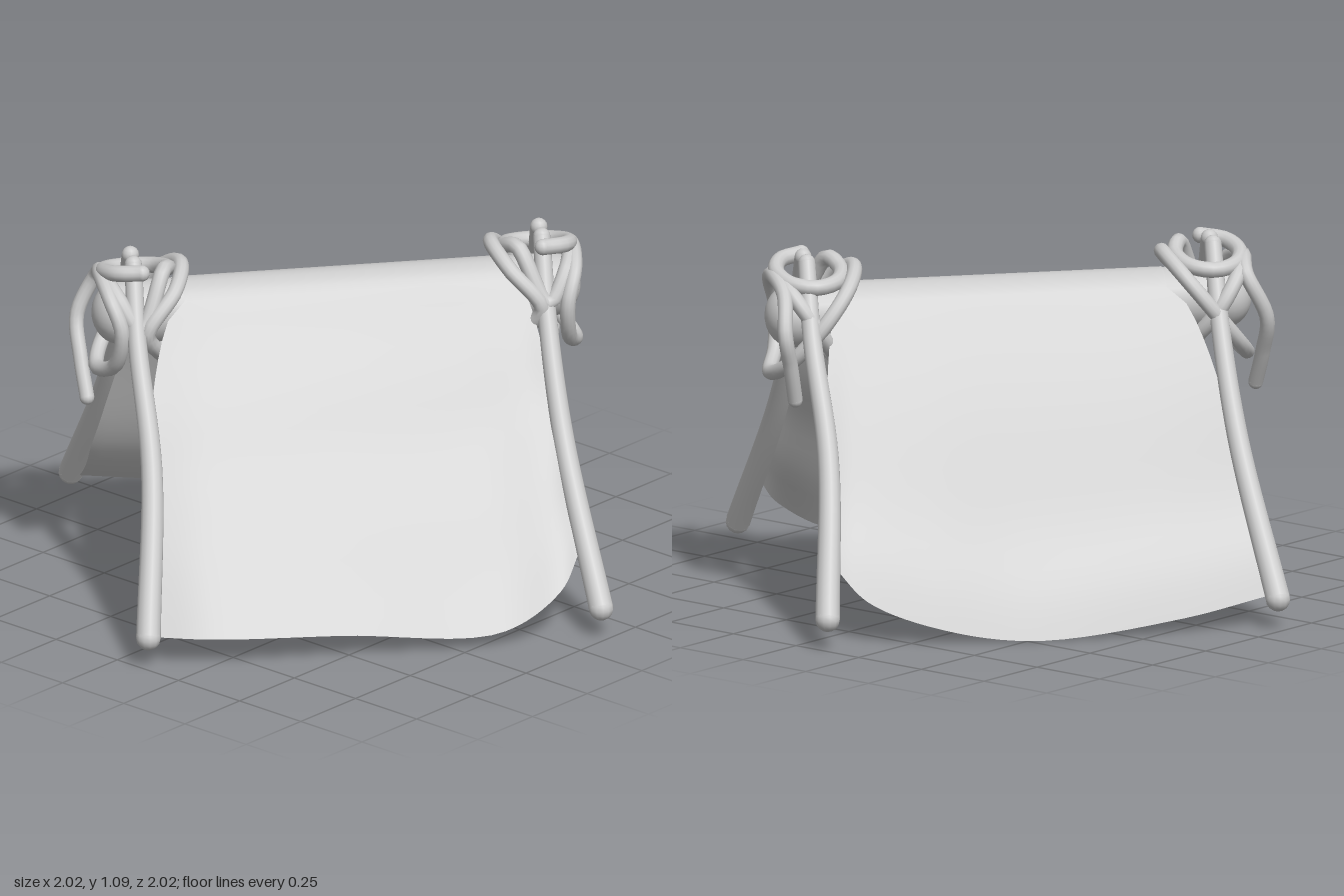
import * as THREE from 'three';

const grey = new THREE.MeshStandardMaterial({ color: 0xcccccc });
const clothGrey = new THREE.MeshStandardMaterial({ color: 0xcccccc, side: THREE.DoubleSide });
const V = (x, y, z) => new THREE.Vector3(x, y, z);

function addMesh(parent, geometry, name, material = grey) {
  const mesh = new THREE.Mesh(geometry, material);
  mesh.name = name;
  parent.add(mesh);
  return mesh;
}

// Round-ended rod along a curve, tapering from r0 to r1
function rod(parent, points, r0, r1, name, segments = 24) {
  const curve = new THREE.CatmullRomCurve3(points);
  const sides = 12;
  const geo = new THREE.TubeGeometry(curve, segments, 1, sides);
  const pos = geo.attributes.position;
  const p = V(0, 0, 0);
  for (let i = 0; i <= segments; i++) {
    const c = curve.getPointAt(i / segments);
    const r = r0 + (r1 - r0) * i / segments;
    for (let j = 0; j <= sides; j++) {
      const k = i * (sides + 1) + j;
      p.fromBufferAttribute(pos, k).sub(c).multiplyScalar(r).add(c);
      pos.setXYZ(k, p.x, p.y, p.z);
    }
  }
  const group = new THREE.Group();
  group.name = name;
  addMesh(group, geo, name + 'Shaft');
  [[points[0], r0], [points[points.length - 1], r1]].forEach(([c, r]) => {
    addMesh(group, new THREE.SphereGeometry(r, 12, 8), name + 'End').position.copy(c);
  });
  parent.add(group);
}

// Rope: a ring round the pole tips, two crossing diagonal turns, a loose tail
function lashing(parent, side, tail) {
  const points = [];
  const perTurn = 8;
  for (let i = 0; i <= perTurn * 3.4; i++) {
    const turn = Math.min(Math.floor(i / perTurn), 3);
    const a = (i / perTurn) * Math.PI * 2;
    const c = Math.cos(a), s = Math.sin(a);
    if (turn === 0) points.push(V(0.11 * c, 0.14 + 0.03 * c, 0.1 * s));
    else if (turn === 1) points.push(V(0.15 * c, 0.13 * s, 0.09 * s + 0.01));
    else if (turn === 2) points.push(V(0.16 * c, 0.16 * s - 0.01, -0.13 * s - 0.01));
    else points.push(V(0.16 * c, 0.13 * s, 0.07 + 0.04 * s));
  }
  points.push(...tail);
  points.forEach((p) => { p.x *= side; });
  const group = new THREE.Group();
  group.name = 'lashing';
  group.position.set(0, 0.89, 0.62);
  rod(group, points, 0.025, 0.023, 'lashingRope', 150);
  parent.add(group);
}

// One end of the frame: two poles leaning together, tied at the ridge
function endFrame(name, turn, side, tail) {
  const g = new THREE.Group();
  g.name = name;
  rod(g, [V(-0.685, 0.097, 0.7), V(-0.37, 0.53, 0.64), V(-0.165, 0.85, 0.625), V(-0.035, 1.065, 0.63)],
    0.038, 0.027, 'rightPole');
  rod(g, [V(0.685, 0.097, 0.7), V(0.4, 0.53, 0.64), V(0.175, 0.86, 0.645), V(0.045, 1.065, 0.635)],
    0.038, 0.027, 'leftPole');
  lashing(g, side, tail);
  g.rotation.y = turn;
  return g;
}

// Ridge log with domed ends
function ridgeLog() {
  const g = new THREE.Group();
  g.name = 'ridgeLog';
  const profile = [];
  const r = 0.097, half = 0.67;
  for (let i = 0; i <= 8; i++) {
    const a = i / 8 * Math.PI / 2;
    profile.push(new THREE.Vector2(r * Math.sin(a), -half - 0.085 * Math.cos(a)));
  }
  for (let i = 8; i >= 0; i--) profile.push(new THREE.Vector2(profile[i].x, -profile[i].y));
  const log = addMesh(g, new THREE.LatheGeometry(profile, 24), 'log');
  log.rotation.x = Math.PI / 2;
  log.position.y = 0.892;
  return g;
}

// Sheet draped over the log; one slope flares out above its hem
function canvasSheet() {
  const right = new THREE.CatmullRomCurve3([V(-0.645, 0.1, 0.68), V(-0.69, 0.05, 0.4),
    V(-0.706, 0.005, -0.055), V(-0.693, 0.05, -0.345), V(-0.632, 0.13, -0.56), V(-0.53, 0.22, -0.645)]);
  const left = new THREE.CatmullRomCurve3([V(0.675, 0.095, 0.69), V(0.73, 0.095, 0.5), V(0.73, 0.08, 0.1),
    V(0.715, 0.05, -0.386), V(0.666, 0.15, -0.577), V(0.58, 0.24, -0.65)]);
  const rows = 36, side = 18, arc = 8;
  const cols = side * 2 + arc;
  const verts = [], index = [];
  for (let i = 0; i <= rows; i++) {
    const v = i / rows;
    const hl = left.getPoint(v), hr = right.getPoint(v);
    const ridge = 0.7 + 0.13 * v;
    // Point on a slope: t = 0 at the log, t = 1 at the hem
    const slope = (hem, sign, t) => {
      const p = V(sign * 0.083, 0.948, 0).lerp(hem, t);
      p.z = hem.z * (ridge + (1 - ridge) * Math.min(1, Math.sqrt(t / 0.75)));
      const flare = Math.sin(Math.PI * Math.pow(t, 2.2)) * (0.068 - 0.045 * v * v);
      const ripple = Math.sin(Math.PI * t) * (0.01 + 0.004 * Math.sin(t * 14 + v * 3));
      const sag = sign < 0 ? flare : ripple;
      return p.add(V(-sign * 0.82 * sag, -0.57 * sag, 0));
    };
    for (let j = 0; j <= cols; j++) {
      let p;
      if (j <= side) p = slope(hr, -1, 1 - j / side);
      else if (j >= side + arc) p = slope(hl, 1, (j - side - arc) / side);
      else {
        const k = (j - side) / arc;
        const a = (k - 0.5) * 2 * 0.96;
        p = V(0.101 * Math.sin(a), 0.89 + 0.101 * Math.cos(a),
          ridge * (hr.z + (hl.z - hr.z) * k));
      }
      verts.push(p.x, p.y, p.z);
      if (i < rows && j < cols) {
        const a = i * (cols + 1) + j, b = a + cols + 1;
        index.push(a, a + 1, b, b, a + 1, b + 1);
      }
    }
  }
  const geo = new THREE.BufferGeometry();
  geo.setAttribute('position', new THREE.Float32BufferAttribute(verts, 3));
  geo.setIndex(index);
  geo.computeVertexNormals();
  return geo;
}

export function createModel() {
  const model = new THREE.Group();
  model.name = 'tent';
  const tent = new THREE.Group();
  tent.name = 'tentBody';
  tent.add(
    endFrame('frontFrame', 0, 1, [V(-0.12, -0.04, 0.16), V(-0.06, -0.16, 0.16), V(0, -0.27, 0.15)]),
    endFrame('backFrame', Math.PI, -1, [V(-0.19, -0.02, 0.11), V(-0.17, -0.12, 0.09), V(-0.14, -0.23, 0.07)]),
    ridgeLog(),
  );
  addMesh(tent, canvasSheet(), 'canvasSheet', clothGrey);
  // The ridge runs diagonally
  tent.rotation.y = -0.668;
  model.add(tent);
  return model;
}
